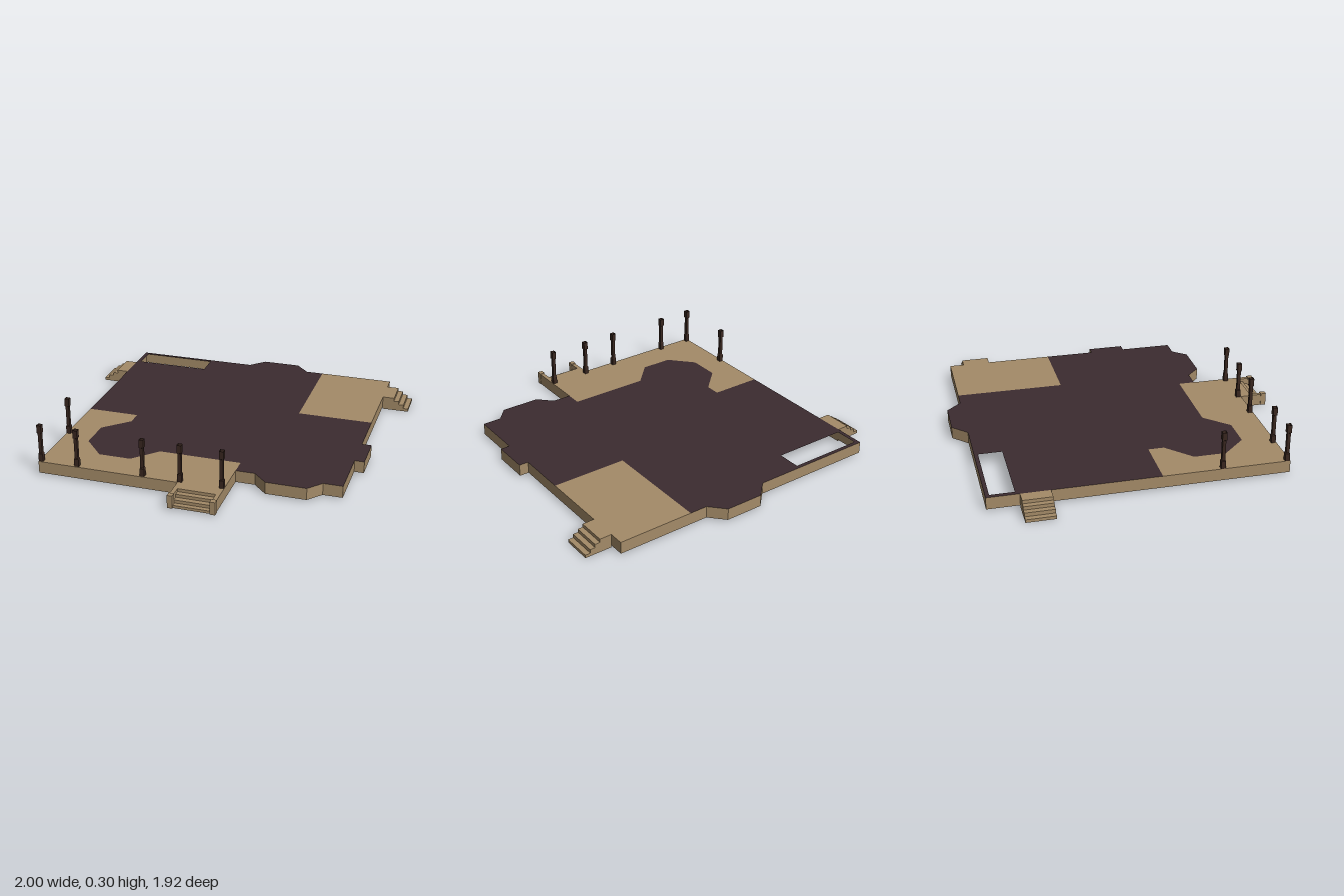
import * as THREE from 'three';

const TOP = 0.08, BASE = 0.01;
const tan = new THREE.MeshStandardMaterial({ color: 0xa48b68, side: THREE.DoubleSide, flatShading: true });
const dark = new THREE.MeshStandardMaterial({ color: 0x3c2b30, side: THREE.DoubleSide, flatShading: true });
const brown = new THREE.MeshStandardMaterial({ color: 0x38261f, side: THREE.DoubleSide, flatShading: true });

function add(parent, name, geometry, material) {
  const mesh = new THREE.Mesh(geometry, material);
  mesh.name = name;
  parent.add(mesh);
  return mesh;
}

const toPoints = (list) => list.map(([x, z]) => new THREE.Vector2(x, -z));
const rect = (x0, z0, x1, z1) => [[x0, z0], [x1, z0], [x1, z1], [x0, z1]];

// Thin horizontal sheet from an [x, z] outline with optional holes
function sheet(outline, holes = []) {
  const shape = new THREE.Shape(toPoints(outline));
  for (const h of holes) shape.holes.push(new THREE.Path(toPoints(h)));
  return new THREE.ShapeGeometry(shape).rotateX(-Math.PI / 2).translate(0, TOP, 0);
}

// Upright band that follows a closed [x, z] outline
function band(outline, y0, y1) {
  const pos = [];
  outline.forEach(([ax, az], i) => {
    const [bx, bz] = outline[(i + 1) % outline.length];
    pos.push(ax, y0, az, bx, y1, bz, bx, y0, bz, ax, y0, az, ax, y1, az, bx, y1, bz);
  });
  const g = new THREE.BufferGeometry();
  g.setAttribute('position', new THREE.Float32BufferAttribute(pos, 3));
  g.computeVertexNormals();
  return g;
}

// Flight of steps running out along +x from a landing, width along +z
function stairs(landing, treads, width, bottom) {
  const s = new THREE.Shape();
  s.moveTo(0, bottom);
  s.lineTo(0, TOP);
  s.lineTo(landing, TOP);
  treads.forEach(([out, y], i) => {
    s.lineTo(i ? treads[i - 1][0] : landing, y);
    s.lineTo(out, y);
  });
  s.lineTo(treads[treads.length - 1][0], bottom);
  return new THREE.ExtrudeGeometry(s, { depth: width, bevelEnabled: false });
}

// Hollow square post: base block, thin shaft, capital
function column() {
  const r = (w) => w / Math.SQRT2;
  const profile = [[0.026, TOP], [0.026, 0.125], [0.019, 0.13], [0.019, 0.25], [0.026, 0.253], [0.026, 0.3]];
  return new THREE.LatheGeometry(profile.map(([w, y]) => new THREE.Vector2(r(w), y)), 4)
    .rotateY(Math.PI / 4);
}

export function createModel() {
  const model = new THREE.Group();
  model.name = 'houseFoundation';

  // Perimeter, clockwise from the back right corner
  const backEdge = [[-0.84, -0.88], [-0.1, -0.88], [-0.015, -0.965], [0.21, -0.965], [0.29, -0.88]];
  const sideAndFront = [
    [0.84, 0.055], [0.895, 0.055], [0.895, 0.27], [0.84, 0.27], [0.84, 0.58],
    [0.73, 0.58], [0.66, 0.66], [0.43, 0.66], [0.35, 0.58], [0.24, 0.58],
  ];
  const innerBay = [
    [0.24, 0.485], [-0.235, 0.485], [-0.365, 0.62], [-0.55, 0.62], [-0.675, 0.485],
    [-0.675, 0.3], [-0.535, 0.165], [-0.535, 0.075], [-0.84, 0.075],
  ];
  const perimeter = [...backEdge, [0.84, -0.88], ...sideAndFront, [0.24, 0.8], [-0.84, 0.8]];
  add(model, 'foundationWall', band(perimeter, BASE, TOP), tan);

  // Indoor floor with the stairwell opening
  const indoor = [...backEdge, [0.395, -0.88], [0.395, -0.24], [0.84, -0.24], ...sideAndFront, ...innerBay];
  add(model, 'indoorFloor', sheet(indoor, [rect(-0.815, -0.858, -0.37, -0.722)]), dark);

  // Porch floors
  const posts = [[-0.827, 0.782], [-0.612, 0.782], [-0.226, 0.782], [-0.011, 0.782], [0.225, 0.782], [-0.827, 0.414]];
  const postHoles = posts.map(([x, z]) => rect(x - 0.012, z - 0.012, x + 0.012, z + 0.012));
  add(model, 'frontPorchFloor', sheet([...innerBay, [-0.84, 0.8], [0.24, 0.8]], postHoles), tan);
  add(model, 'backPorchFloor', sheet(rect(0.395, -0.88, 0.84, -0.24)), tan);

  // Porch columns
  posts.forEach(([x, z]) => add(model, 'porchColumn', column(), brown).position.set(x, 0, z));

  // Side steps
  const sideTreads = [[0.1, 0.06], [0.13, 0.04], [0.16, 0.018]];
  const left = add(model, 'leftSteps', stairs(0.07, sideTreads, 0.165, 0), tan);
  left.position.set(0.84, 0, -0.795);
  const right = add(model, 'rightSteps', stairs(0.07, sideTreads, 0.165, 0), tan);
  right.rotation.y = Math.PI;
  right.position.set(-0.84, 0, -0.535);

  // Front steps between two cheek walls with end blocks
  const frontTreads = [[0.095, 0.062], [0.125, 0.044], [0.152, 0.026]];
  const front = add(model, 'frontSteps', stairs(0.065, frontTreads, 0.213, BASE), tan);
  front.rotation.y = -Math.PI / 2;
  front.position.set(0.216, 0, 0.8);
  for (const x of [-0.009, 0.228]) {
    const cheek = add(model, 'stepCheek', new THREE.BoxGeometry(0.024, TOP - BASE, 0.155), tan);
    cheek.position.set(x, (TOP + BASE) / 2, 0.8775);
    const block = add(model, 'cheekEndBlock', new THREE.BoxGeometry(0.03, 0.075, 0.032), tan);
    block.position.set(x, BASE + 0.0375, 0.944);
  }
  return model;
}
